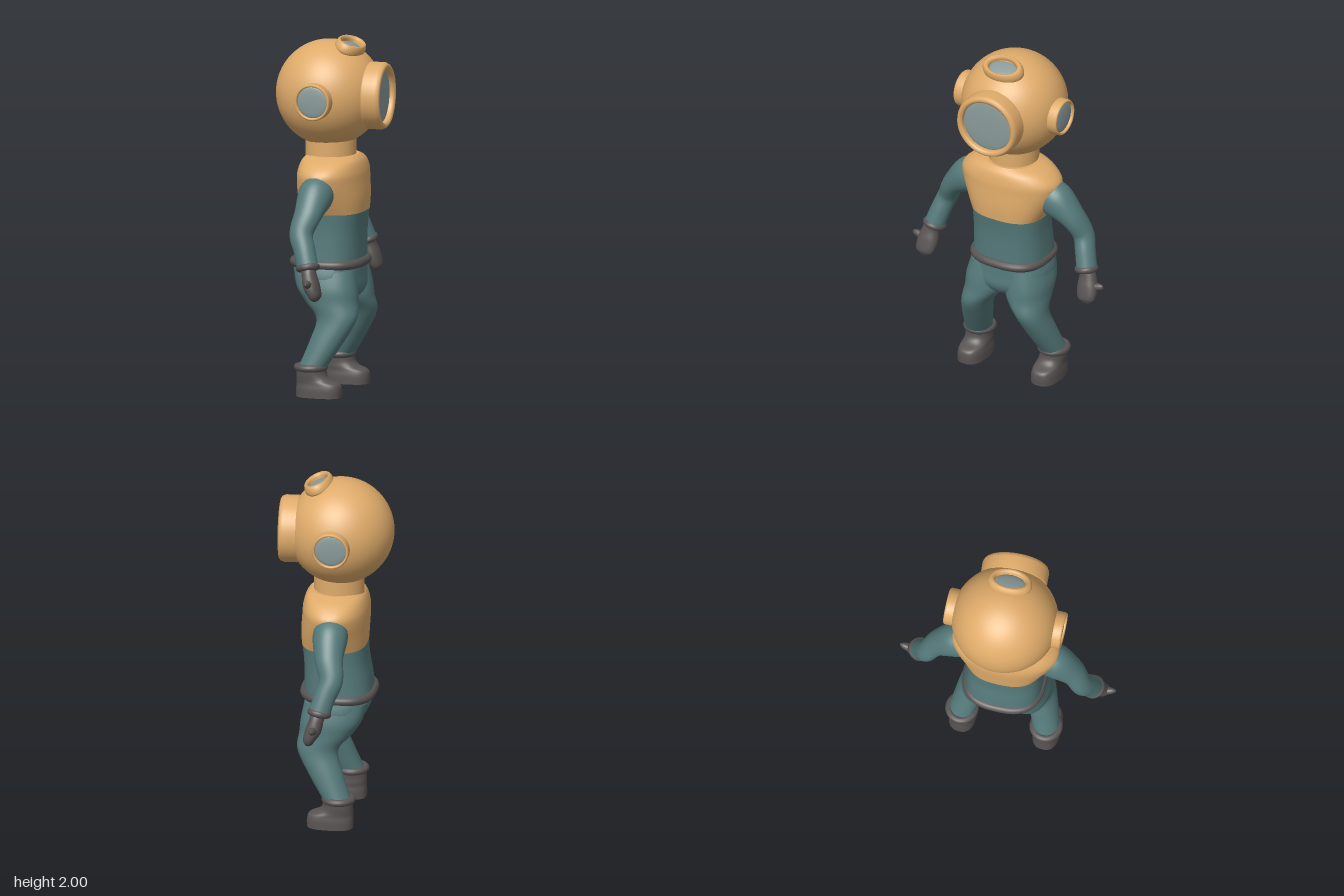
import * as THREE from 'three';

const mat = (color) => new THREE.MeshStandardMaterial({ color });
const brass = mat(0xdfab6a), teal = mat(0x55797a), dark = mat(0x595353), glass = mat(0x8a9a9a);

// Smooth value between rows of numbers
function sample(rows, t) {
  const f = t * (rows.length - 1), i = Math.min(Math.floor(f), rows.length - 2), k = f - i;
  const at = (n) => rows[Math.min(Math.max(n, 0), rows.length - 1)];
  const [a, b, c, d] = [at(i - 1), at(i), at(i + 1), at(i + 2)];
  return b.map((_, n) => b[n] + 0.5 * k * (c[n] - a[n]
    + k * (2 * a[n] - 5 * b[n] + 4 * c[n] - d[n] + k * (3 * (b[n] - c[n]) + d[n] - a[n]))));
}

const bend = (v, n) => Math.sign(v) * Math.pow(Math.abs(v), 2 / n);

// Body of superelliptic rings; row = [x, y, z, radius in x, radius across, exponent]
function loft(rows, level = true, steps = 6, segs = 40) {
  const count = (rows.length - 1) * steps, pos = [], idx = [], rings = [];
  for (let i = 0; i <= count; i++) rings.push(sample(rows, i / count));
  const centre = (i) => new THREE.Vector3(...rings[Math.min(Math.max(i, 0), count)].slice(0, 3));
  rings.forEach(([x, y, z, rx, rv, n], i) => {
    const t = centre(i + 1).sub(centre(i - 1));
    if (level) t.set(0, Math.sign(t.y), 0);
    t.normalize();
    const u = new THREE.Vector3(1, 0, 0).addScaledVector(t, -t.x).normalize();
    const v = u.clone().cross(t);
    for (let j = 0; j < segs; j++) {
      const a = j / segs * Math.PI * 2;
      const p = new THREE.Vector3(x, y, z)
        .addScaledVector(u, Math.max(rx, 0.002) * bend(Math.cos(a), n))
        .addScaledVector(v, Math.max(rv, 0.002) * bend(Math.sin(a), n));
      pos.push(p.x, p.y, p.z);
    }
  });
  for (let i = 0; i < count; i++) for (let j = 0; j < segs; j++) {
    const k = (j + 1) % segs, a = i * segs + j, b = i * segs + k, d = a + segs, c = b + segs;
    idx.push(a, d, b, b, d, c);
  }
  // End caps with their own vertices
  for (const end of [0, count]) {
    const base = pos.length / 3, from = end * segs * 3;
    pos.push(...pos.slice(from, from + segs * 3), ...centre(end).toArray());
    for (let j = 0; j < segs; j++) {
      const a = base + j, b = base + (j + 1) % segs, c = base + segs;
      idx.push(c, ...(end ? [b, a] : [a, b]));
    }
  }
  const g = new THREE.BufferGeometry();
  g.setAttribute('position', new THREE.Float32BufferAttribute(pos, 3));
  g.setIndex(idx);
  g.computeVertexNormals();
  return g;
}

function add(parent, name, geometry, material) {
  const m = new THREE.Mesh(geometry, material);
  m.name = name;
  parent.add(m);
  return m;
}

// Rimmed window built along +y: outer radius, glass radius, depth
function porthole(parent, name, R, r, depth) {
  const g = new THREE.Group();
  g.name = name;
  const e = Math.min((R - r) * 0.7, 0.03), mid = (R + r) / 2;
  const profile = [[R * 0.8, 0], [R * 0.98, 0.004], [R, 0.015], [R, depth - e], [R - e * 0.3, depth - e * 0.3],
    [mid, depth], [r + e * 0.15, depth - e * 0.25], [r, depth - e * 0.7], [r, depth - e - 0.02]];
  add(g, name + 'Rim', new THREE.LatheGeometry(profile.map((p) => new THREE.Vector2(...p)), 48), brass);
  const pane = add(g, name + 'Glass', new THREE.SphereGeometry(r * 1.01, 40, 12, 0, Math.PI * 2, 0, Math.PI / 2), glass);
  pane.scale.y = 0.012 / r;
  pane.position.y = depth - e - 0.008;
  parent.add(g);
  return g;
}

function cuff(parent, name, p, dir, r, tube) {
  const m = add(parent, name, new THREE.TorusGeometry(r, tube, 14, 40), dark);
  m.position.set(...p);
  m.quaternion.setFromUnitVectors(new THREE.Vector3(0, 0, 1), new THREE.Vector3(...dir).normalize());
  return m;
}

export function createModel() {
  const model = new THREE.Group();
  model.name = 'diver';

  // Helmet with four windows and a neck ring
  const helmet = new THREE.Group();
  helmet.name = 'helmet';
  model.add(helmet);
  add(helmet, 'helmetShell', new THREE.SphereGeometry(0.298, 64, 40), brass).position.set(-0.022, 1.677, 0);
  add(helmet, 'neckRing', new THREE.CylinderGeometry(0.141, 0.141, 0.11, 48), brass).position.set(-0.013, 1.37, 0);
  const front = porthole(helmet, 'frontWindow', 0.188, 0.15, 0.115);
  front.position.set(0.202, 1.672, -0.005);
  front.rotation.set(0, 0.06, -Math.PI / 2);
  for (const s of [1, -1]) {
    const side = porthole(helmet, s > 0 ? 'leftWindow' : 'rightWindow', 0.104, 0.088, 0.075);
    side.position.set(-0.013, 1.672, s * 0.259);
    side.rotation.x = s * Math.PI / 2;
  }
  const top = porthole(helmet, 'topWindow', 0.125, 0.086, 0.06);
  top.position.set(0.092, 1.918, 0);
  top.rotation.z = -0.37;
  top.scale.x = 0.66;

  // Breastplate, jacket, belt and seat
  add(model, 'breastplate', loft([
    [0.008, 1.02, 0, 0.182, 0.217, 2.6], [0.007, 1.1, 0, 0.187, 0.258, 2.3],
    [0.002, 1.19, 0, 0.187, 0.298, 2.1], [0.002, 1.25, 0, 0.182, 0.298, 2.1],
    [0.003, 1.305, 0, 0.165, 0.235, 2.2], [0.004, 1.335, 0, 0.138, 0.155, 2.1]]), brass);
  add(model, 'jacket', loft([
    [-0.017, 0.73, 0, 0.192, 0.217, 2.7], [-0.01, 0.83, 0, 0.185, 0.213, 2.7],
    [0, 0.93, 0, 0.178, 0.211, 2.7], [0.008, 1.021, 0, 0.181, 0.216, 2.6]]), teal);
  const beltPoints = Array.from({ length: 48 }, (_, j) => {
    const a = j / 48 * Math.PI * 2;
    return new THREE.Vector3(-0.015 + 0.189 * bend(Math.cos(a), 2.7), 0.733, 0.207 * bend(Math.sin(a), 2.7));
  });
  add(model, 'belt', new THREE.TubeGeometry(new THREE.CatmullRomCurve3(beltPoints, true), 144, 0.026, 12, true), dark);
  add(model, 'trouserSeat', loft([
    [-0.017, 0.74, 0, 0.19, 0.216, 2.7], [-0.008, 0.66, 0, 0.184, 0.236, 2.6],
    [0.012, 0.59, 0, 0.166, 0.225, 2.4], [0.025, 0.54, 0, 0.125, 0.14, 2.2],
    [0.028, 0.52, 0, 0.07, 0.06, 2]]), teal);

  for (const s of [1, -1]) {
    const side = s > 0 ? 'left' : 'right';
    const flip = (rows) => rows.map(([x, y, z, ...rest]) => [x, y, z * s, ...rest]);

    // Arm: sleeve, cuff, mitten and thumb
    const arm = new THREE.Group();
    arm.name = side + 'Arm';
    model.add(arm);
    add(arm, 'sleeve', loft(flip([
      [-0.005, 1.165, 0.2, 0.085, 0.085, 2], [-0.006, 1.138, 0.28, 0.098, 0.103, 2],
      [-0.015, 1.05, 0.382, 0.079, 0.066, 2], [-0.036, 0.95, 0.437, 0.067, 0.057, 2],
      [-0.006, 0.86, 0.468, 0.061, 0.057, 2], [0.02, 0.775, 0.492, 0.06, 0.058, 2]]), false), teal);
    cuff(arm, 'wristCuff', [0.022, 0.772, 0.492 * s], [0.2, -1, 0.22 * s], 0.048, 0.02);
    add(arm, 'mitten', loft(flip([
      [0.025, 0.775, 0.493, 0.042, 0.042, 2], [0.035, 0.735, 0.508, 0.04, 0.05, 2.2],
      [0.05, 0.68, 0.516, 0.044, 0.06, 2.3], [0.07, 0.635, 0.522, 0.036, 0.058, 2.3],
      [0.08, 0.606, 0.525, 0.027, 0.046, 2.3], [0.087, 0.592, 0.526, 0.01, 0.024, 2]]), false), dark);
    add(arm, 'thumb', loft(flip([
      [0.045, 0.68, 0.53, 0.03, 0.03, 2], [0.048, 0.69, 0.57, 0.023, 0.023, 2],
      [0.05, 0.697, 0.6, 0.015, 0.018, 2], [0.051, 0.7, 0.616, 0.003, 0.008, 2]]), false), dark);

    // Leg: trouser, ankle cuff and boot
    const leg = new THREE.Group();
    leg.name = side + 'Leg';
    model.add(leg);
    add(leg, 'trouser', loft(flip([
      [-0.012, 0.7, 0.112, 0.175, 0.113, 2.3], [0.01, 0.6, 0.126, 0.172, 0.122, 2.3],
      [0.04, 0.52, 0.134, 0.15, 0.117, 2.2], [0.08, 0.43, 0.173, 0.115, 0.086, 2.1],
      [0.035, 0.31, 0.205, 0.098, 0.08, 2.1], [-0.035, 0.17, 0.238, 0.08, 0.074, 2.1]])), teal);
    cuff(leg, 'ankleCuff', [-0.047, 0.165, 0.24 * s], [0, 1, 0], 0.073, 0.02).scale.x = 1.03;
    add(leg, 'boot', loft(flip([
      [0, 0, 0.238, 0.13, 0.078, 2.6], [0, 0.045, 0.238, 0.13, 0.077, 2.6],
      [-0.005, 0.075, 0.238, 0.123, 0.073, 2.5], [-0.03, 0.097, 0.238, 0.098, 0.072, 2.4],
      [-0.042, 0.125, 0.24, 0.086, 0.072, 2.2], [-0.044, 0.17, 0.24, 0.083, 0.073, 2.1]])), dark);
  }
  return model;
}
